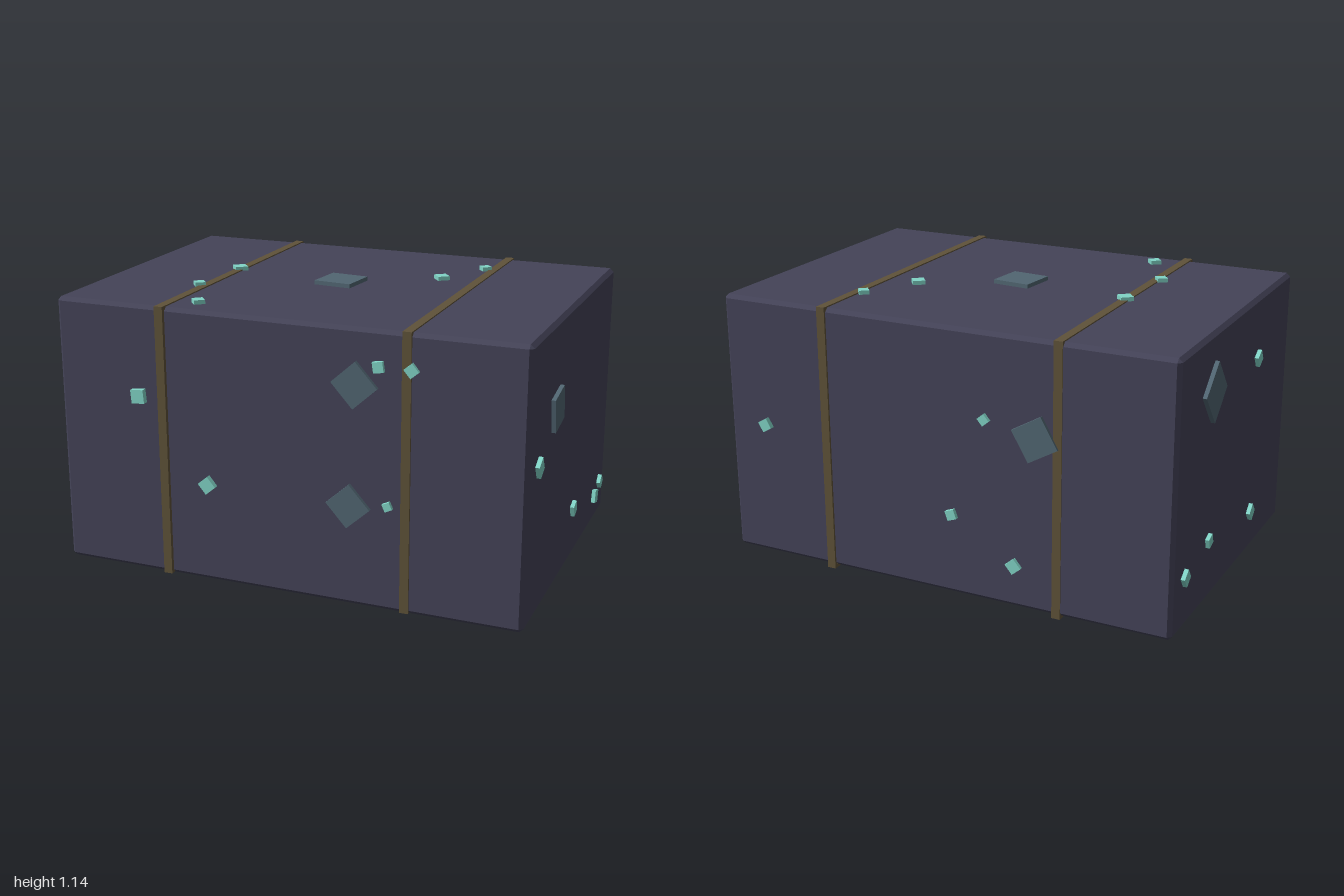
import * as THREE from 'three';
import { ConvexGeometry } from 'three/addons/geometries/ConvexGeometry.js';

const mat = (name, color) => {
  const m = new THREE.MeshStandardMaterial({ color });
  m.name = name;
  return m;
};

// Box with slightly uneven corners and a small chamfer on every edge
function crateGeometry() {
  const c = 0.016;
  const points = [];
  for (const sx of [-1, 1]) for (const sy of [-1, 1]) for (const sz of [-1, 1]) {
    const x = sx * 0.98;
    const y = sy > 0 ? 1.125 : (sz > 0 ? 0.005 : 0.02);
    const z = sz > 0 ? (sx > 0 ? 0.685 : 0.668) : (sx > 0 ? -0.681 : -0.69);
    points.push(
      new THREE.Vector3(x, y - sy * c, z - sz * c),
      new THREE.Vector3(x - sx * c, y, z - sz * c),
      new THREE.Vector3(x - sx * c, y - sy * c, z)
    );
  }
  const g = new ConvexGeometry(points);
  g.computeVertexNormals();
  return g;
}

export function createModel() {
  const model = new THREE.Group();
  model.name = 'strappedCrate';
  const body = mat('dark slate', 0x444358);
  const strapMat = mat('olive brown', 0x5f5239);
  const crystal = mat('pale teal', 0x80d4c6);
  const plateMat = mat('grey teal', 0x516672);

  const add = (name, geometry, material, parent = model) => {
    const m = new THREE.Mesh(geometry, material);
    m.name = name;
    parent.add(m);
    return m;
  };

  add('crateBody', crateGeometry(), body);

  // Two straps wrapped around the crate: a rectangular ring each
  const w = 0.036;
  for (const s of [-1, 1]) {
    const strap = new THREE.Group();
    strap.name = s < 0 ? 'rightStrap' : 'leftStrap';
    strap.position.x = s * 0.51;
    model.add(strap);
    add('strapTop', new THREE.BoxGeometry(w, 0.016, 1.38), strapMat, strap).position.set(0, 1.122, -0.001);
    add('strapBottom', new THREE.BoxGeometry(w, 0.016, 1.38), strapMat, strap).position.set(0, 0.018, -0.001);
    add('strapFront', new THREE.BoxGeometry(w, 1.12, 0.016), strapMat, strap).position.set(0, 0.57, 0.681);
    add('strapBack', new THREE.BoxGeometry(w, 1.12, 0.016), strapMat, strap).position.set(0, 0.57, -0.684);
  }

  // Square chips on each side: [u, v, size, turn in degrees, large?]
  // u, v are the two world coordinates lying in the face
  const faces = [
    { name: 'front', dir: [0, 0, 1], at: (u, v) => [u, v, 0.684], chips: [
      [0.305, 0.905, 0.132, 42, 1], [0.28, 0.42, 0.127, 42, 1],
      [-0.615, 0.755, 0.056, 5], [-0.32, 0.42, 0.054, 40], [0.40, 0.985, 0.042, 8],
      [0.53, 0.985, 0.043, 40], [0.44, 0.44, 0.032, 25]] },
    { name: 'back', dir: [0, 0, -1], at: (u, v) => [u, v, -0.69], chips: [
      [-0.42, 0.735, 0.14, 30, 1], [0.80, 0.595, 0.045, 30], [-0.205, 0.78, 0.036, 40],
      [-0.06, 0.362, 0.04, 20], [-0.33, 0.197, 0.048, 40]] },
    { name: 'left', dir: [1, 0, 0], at: (u, v) => [0.985, v, u], chips: [
      [0.305, 0.78, 0.138, 10, 1], [0.555, 0.627, 0.058, 28], [-0.06, 0.237, 0.048, 20],
      [-0.483, 0.138, 0.056, -15], [-0.573, 0.177, 0.044, 42]] },
    { name: 'right', dir: [-1, 0, 0], at: (u, v) => [-0.985, v, u], chips: [
      [-0.325, 0.895, 0.17, 40, 1], [0.225, 0.87, 0.05, 30], [0.23, 0.19, 0.052, 40],
      [-0.31, 0.28, 0.042, 20], [-0.57, 0.235, 0.05, 35]] },
    { name: 'top', dir: [0, 1, 0], at: (u, v) => [u, 1.13, v], chips: [
      [-0.015, 0.02, 0.162, -6, 1], [0.475, -0.425, 0.041, 40], [0.355, -0.19, 0.051, 38],
      [-0.51, -0.05, 0.054, 40], [-0.535, 0.285, 0.043, 38], [-0.40, 0.56, 0.045, 40]] }
  ];
  const forward = new THREE.Vector3(0, 0, 1);
  for (const f of faces) {
    const group = new THREE.Group();
    group.name = f.name + 'Chips';
    model.add(group);
    const facing = new THREE.Quaternion().setFromUnitVectors(forward, new THREE.Vector3(...f.dir));
    if (f.name === 'back') facing.setFromAxisAngle(new THREE.Vector3(0, 1, 0), Math.PI);
    for (const [u, v, size, turn, large] of f.chips) {
      const chip = add(large ? 'plate' : 'crystalChip', new THREE.BoxGeometry(size, size, 0.024),
        large ? plateMat : crystal, group);
      chip.position.set(...f.at(u, v));
      chip.quaternion.copy(facing);
      chip.rotateZ(THREE.MathUtils.degToRad(turn));
    }
  }
  return model;
}
